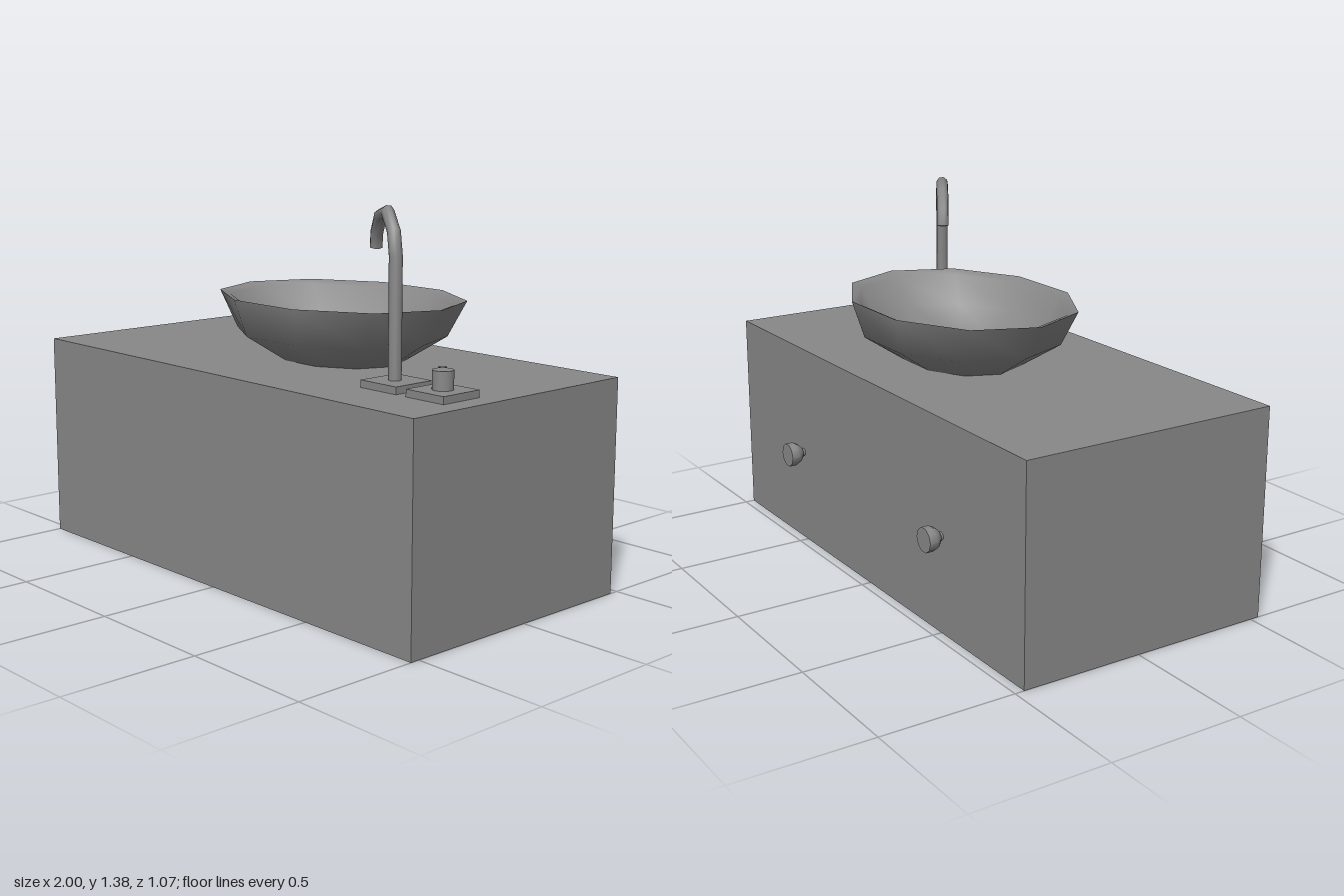
import * as THREE from 'three';
import { mergeVertices, toCreasedNormals } from 'three/addons/utils/BufferGeometryUtils.js';

const grey = new THREE.MeshStandardMaterial({ color: 0x888888 });
const greyDouble = new THREE.MeshStandardMaterial({ color: 0x888888, side: THREE.DoubleSide });

function add(parent, name, geometry, x = 0, y = 0, z = 0, material = grey) {
  const mesh = new THREE.Mesh(geometry, material);
  mesh.name = name;
  mesh.position.set(x, y, z);
  parent.add(mesh);
  return mesh;
}

// Lathe from [radius, height] pairs, with the first corner on +x
function lathe(profile, sides) {
  return new THREE.LatheGeometry(profile.map(([r, y]) => new THREE.Vector2(r, y)), sides, Math.PI / 2);
}

// Curve running straight from point to point, with one step per point
class Polyline extends THREE.Curve {
  constructor(points) {
    super();
    this.points = points;
  }
  getPoint(t, target = new THREE.Vector3()) {
    const last = this.points.length - 1;
    const i = Math.min(Math.floor(t * last + 1e-9), last - 1);
    return target.lerpVectors(this.points[i], this.points[i + 1], t * last - i);
  }
  getUtoTmapping(u) {
    return u;
  }
}

// Ten-sided oval bowl: outer wall, sloping lip, inner wall
function basinGeometry() {
  let g = lathe([
    [0, 0], [0.265, 0], [0.425, 0.097], [0.517, 0.232],
    [0.472, 0.217], [0.392, 0.115], [0.245, 0.03], [0, 0.015],
  ], 10);
  const p = g.attributes.position;
  for (let i = 0; i < p.count; i++) {
    // the oval is a little rounder at mid height than at the rim
    const bulge = Math.max(0, 1 - Math.abs(p.getY(i) - 0.1) / 0.12);
    p.setZ(i, p.getZ(i) * (0.755 + 0.08 * bulge));
  }
  g.deleteAttribute('normal');
  g.deleteAttribute('uv');
  g = mergeVertices(g);
  return toCreasedNormals(g, 0.95);
}

export function createModel() {
  const model = new THREE.Group();
  model.name = 'washstand';
  const top = 0.78;

  add(model, 'cabinet', new THREE.BoxGeometry(2, top, 1), 0, top / 2, 0.035);
  add(model, 'basin', basinGeometry(), 0.07, top, -0.02, greyDouble);

  // Tap: base plate, upright and angular arch leaning over the basin
  const tap = new THREE.Group();
  tap.name = 'tap';
  model.add(tap);
  const plate = new THREE.BoxGeometry(0.168, 0.026, 0.168);
  add(tap, 'tapPlate', plate, 0.621, top + 0.013, 0.235);
  const path = [
    [0.615, 0.79], [0.615, 1.22], [0.59, 1.297], [0.512, 1.355],
    [0.423, 1.333], [0.377, 1.272], [0.368, 1.219],
  ].map(([x, y]) => new THREE.Vector3(x, y, 0.236 - 0.6 * (0.615 - x)));
  add(tap, 'spout', new THREE.TubeGeometry(new Polyline(path), path.length - 1, 0.023, 8), 0, 0, 0, greyDouble);
  const tip = path[path.length - 1];
  add(tap, 'spoutEnd', new THREE.CircleGeometry(0.022, 8), tip.x, tip.y, tip.z, greyDouble).rotation.x = Math.PI / 2;

  // Control: base plate, round knob and a small grip on one corner
  const control = new THREE.Group();
  control.name = 'control';
  model.add(control);
  add(control, 'controlPlate', plate, 0.834, top + 0.013, 0.235);
  add(control, 'controlKnob', new THREE.CylinderGeometry(0.037, 0.037, 0.066, 12), 0.834, 0.838, 0.234);
  add(control, 'gripEnd', new THREE.CylinderGeometry(0.014, 0.014, 0.065, 8), 0.793, 0.8375, 0.194);
  add(control, 'gripWeb', new THREE.BoxGeometry(0.045, 0.064, 0.02), 0.808, 0.837, 0.209).rotation.y = -Math.PI / 4;

  // Drawer knobs on the rear face
  const knob = toCreasedNormals(lathe([
    [0.015, -0.004], [0.015, 0.012], [0.022, 0.012], [0.037, 0.026], [0.045, 0.042], [0.045, 0.07], [0, 0.07],
  ], 10), 0.7);
  for (const [name, x] of [['rightKnob', -0.502], ['leftKnob', 0.513]]) {
    add(model, name, knob, x, 0.36, -0.465).rotation.x = -Math.PI / 2;
  }

  return model;
}
